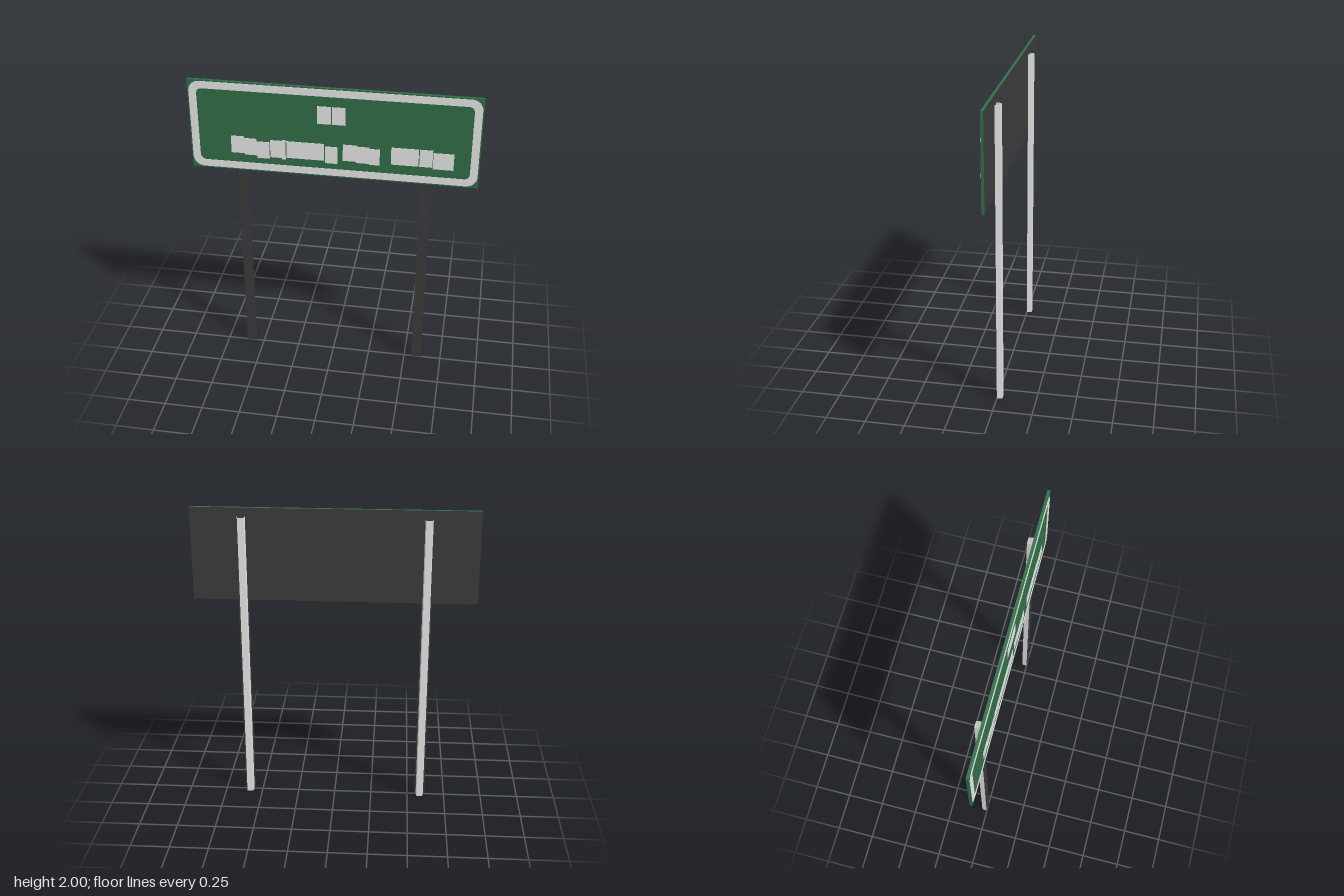
import * as THREE from 'three';

const white = new THREE.MeshStandardMaterial({ name: 'white', color: 0xf8f8f8 });
const green = new THREE.MeshStandardMaterial({ name: 'green', color: 0x306f46 });
const dark = new THREE.MeshStandardMaterial({ name: 'charcoal', color: 0x3b3b3c, side: THREE.DoubleSide });
const steel = new THREE.MeshStandardMaterial({ name: 'paleSteel', color: 0xf0f0f0, side: THREE.DoubleSide });

const BACK = 0.002, FRONT = 0.02;          // board depth
const BOTTOM = 1.395, TOP = 2, POST_TOP = 1.945;

function add(parent, name, geometry, material, x = 0, y = 0, z = 0) {
  const mesh = new THREE.Mesh(geometry, material);
  mesh.name = name;
  mesh.position.set(x, y, z);
  parent.add(mesh);
  return mesh;
}

// Trace a rounded rectangle centred on the origin
function roundedRect(path, w, h, r) {
  const x = w / 2, y = h / 2;
  path.moveTo(-x + r, -y);
  path.lineTo(x - r, -y);
  path.absarc(x - r, -y + r, r, -Math.PI / 2, 0, false);
  path.lineTo(x, y - r);
  path.absarc(x - r, y - r, r, 0, Math.PI / 2, false);
  path.lineTo(-x + r, y);
  path.absarc(-x + r, y - r, r, Math.PI / 2, Math.PI, false);
  path.lineTo(-x, -y + r);
  path.absarc(-x + r, -y + r, r, Math.PI, Math.PI * 1.5, false);
  return path;
}

// Open folded sheet: three upright panels forming a channel
function channelGeometry(height) {
  const section = [[0.025, 0], [0.02, -0.035], [-0.02, -0.035], [-0.025, 0]];
  const pos = [];
  for (let i = 0; i < 3; i++) {
    const [ax, az] = section[i], [bx, bz] = section[i + 1];
    pos.push(ax, 0, az, bx, 0, bz, bx, height, bz);
    pos.push(ax, 0, az, bx, height, bz, ax, height, az);
  }
  const geometry = new THREE.BufferGeometry();
  geometry.setAttribute('position', new THREE.Float32BufferAttribute(pos, 3));
  geometry.computeVertexNormals();
  return geometry;
}

export function createModel() {
  const model = new THREE.Group();
  model.name = 'roadSign';
  const midY = (BOTTOM + TOP) / 2;

  // Board: green front and edges, charcoal back (last face group)
  add(model, 'board', new THREE.BoxGeometry(1.815, TOP - BOTTOM, FRONT - BACK),
    [green, green, green, green, green, dark], 0, midY, (FRONT + BACK) / 2);

  // Rounded white border
  const ring = roundedRect(new THREE.Shape(), 1.8, 0.588, 0.07);
  ring.holes.push(roundedRect(new THREE.Path(), 1.704, 0.492, 0.035));
  add(model, 'border', new THREE.ExtrudeGeometry(ring, { depth: 0.002, bevelEnabled: false, curveSegments: 8 }),
    white, 0, midY, FRONT);

  // Blank panels: left, right, bottom, top
  const panels = new THREE.Group();
  panels.name = 'blankPanels';
  model.add(panels);
  [
    [-0.097, -0.011, 1.76, 1.878], [-0.006, 0.078, 1.76, 1.878],
    [-0.648, -0.562, 1.516, 1.634], [-0.562, -0.483, 1.507, 1.623], [-0.483, -0.403, 1.49, 1.606],
    [-0.398, -0.324, 1.502, 1.622], [-0.324, -0.3, 1.492, 1.629], [-0.294, -0.055, 1.506, 1.623],
    [-0.05, 0.03, 1.49, 1.607], [0.062, 0.146, 1.516, 1.629], [0.146, 0.227, 1.508, 1.622],
    [0.227, 0.293, 1.502, 1.613], [0.363, 0.534, 1.516, 1.634], [0.539, 0.62, 1.516, 1.634],
    [0.623, 0.75, 1.506, 1.618],
  ].forEach(([l, r, b, t]) => add(panels, 'blankPanel', new THREE.BoxGeometry(r - l, t - b, 0.002),
    white, (l + r) / 2, (b + t) / 2, FRONT + 0.001));

  // Posts: pale channel behind a flat charcoal face strip
  for (const side of [-1, 1]) {
    const post = new THREE.Group();
    post.name = side > 0 ? 'leftPost' : 'rightPost';
    post.position.x = side * 0.584;
    model.add(post);
    add(post, 'channel', channelGeometry(POST_TOP), steel);
    add(post, 'faceStrip', new THREE.PlaneGeometry(0.068, POST_TOP), dark, 0, POST_TOP / 2, 0.001);
  }
  return model;
}
